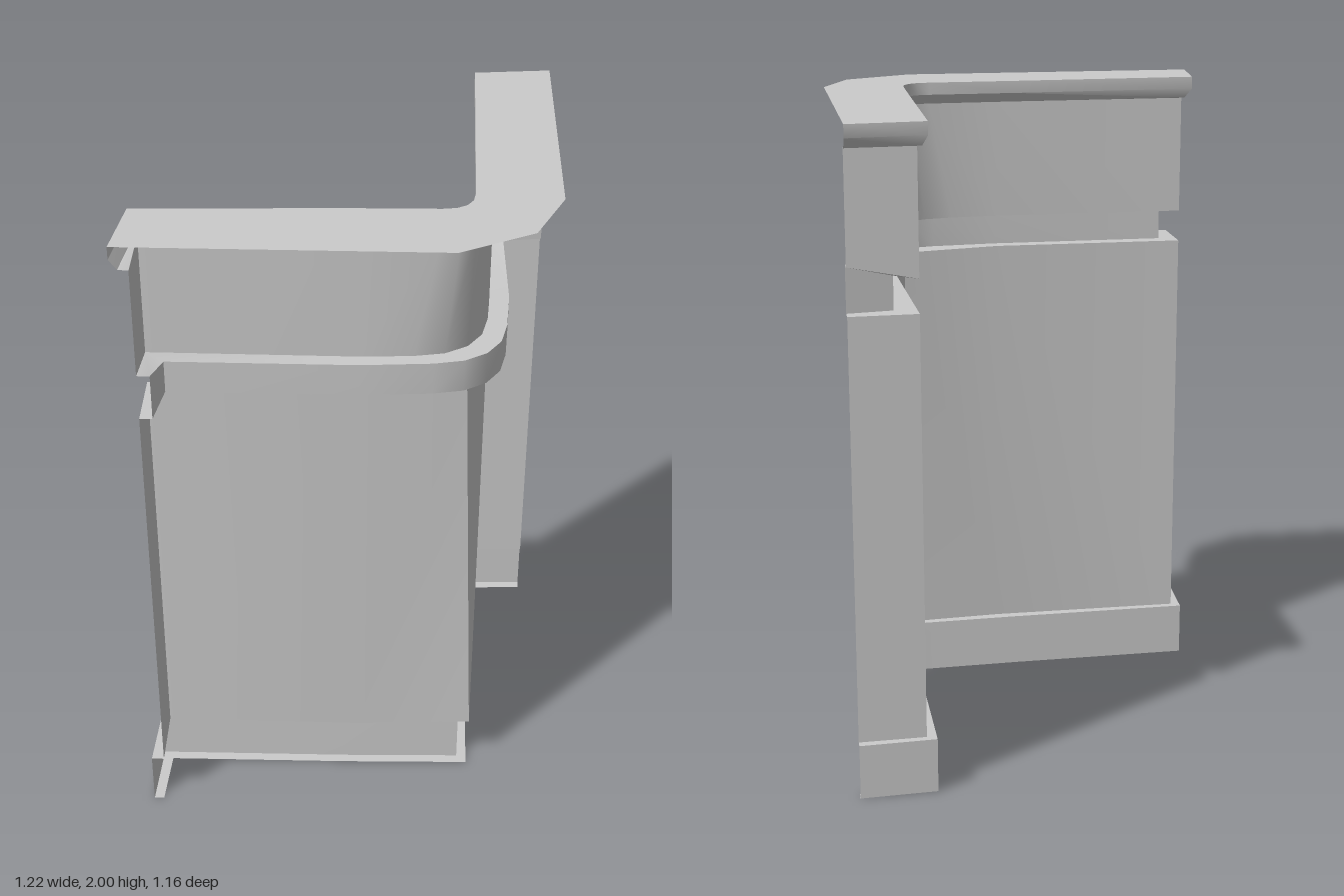
import * as THREE from 'three';
import { toCreasedNormals } from 'three/addons/utils/BufferGeometryUtils.js';

const material = new THREE.MeshStandardMaterial({ color: 0xcccccc, side: THREE.DoubleSide });

// Section of the L-shaped shell: end cap, slightly bowed wall, rounded corner, wall, end cap.
// a/b are the two arms (outer edge, inner end, point midway); c is the corner, r its rounding.
function section(y, aOuter, aInner, aMid, c, r, bMid, bInner, bOuter, yOuter = y) {
  const at = ([x, z]) => new THREE.Vector3(x, y, z);
  const C = at(c), A = at(aMid), B = at(bMid);
  const start = C.clone().add(A.clone().sub(C).setLength(r));
  const end = C.clone().add(B.clone().sub(C).setLength(r));
  const corner = new THREE.QuadraticBezierCurve3(start, C, end).getPoints(4);
  return [
    new THREE.Vector3(aOuter, yOuter, 0.58), at(aInner), A, ...corner, B, at(bInner),
    new THREE.Vector3(0.605, yOuter, bOuter),
  ];
}

// Skin between successive sections
function loft(name, sections) {
  const positions = [];
  const tri = (p, q, s) => {
    const area = q.clone().sub(p).cross(s.clone().sub(p)).length();
    if (area > 1e-7) for (const v of [p, q, s]) positions.push(v.x, v.y, v.z);
  };
  for (let j = 0; j < sections.length - 1; j++) {
    const lo = sections[j], hi = sections[j + 1];
    for (let i = 0; i < lo.length - 1; i++) {
      tri(lo[i], hi[i], hi[i + 1]);
      tri(lo[i], hi[i + 1], lo[i + 1]);
    }
  }
  const geometry = new THREE.BufferGeometry();
  geometry.setAttribute('position', new THREE.Float32BufferAttribute(positions, 3));
  const mesh = new THREE.Mesh(toCreasedNormals(geometry, 0.6), material);
  mesh.name = name;
  return mesh;
}

export function createModel() {
  const group = new THREE.Group();
  group.name = 'cornerWall';

  // Sections from the floor up
  const body = (y, corner, r, yOuter) => section(
    y, -0.557, [-0.557, 0.392], [0.05, 0.395], corner, r, [0.42, 0.08], [0.402, -0.53], -0.535, yOuter);
  const lip = section(
    0, -0.565, [-0.555, 0.4], [0, 0.395], [0.4, 0.385], 0, [0.402, 0], [0.402, -0.52], -0.53);
  const plinth = (y) => section(
    y, -0.595, [-0.585, 0.37], [0, 0.365], [0.37, 0.355], 0, [0.372, 0], [0.372, -0.55], -0.56);
  const lowerFoot = body(0.17, [0.405, 0.375], 0);
  const lowerHead = body(1.46, [0.355, 0.335], 0);
  const band = (y, yOuter) => section(
    y, -0.52, [-0.5, 0.44], [0.05, 0.44], [0.455, 0.41], 0.2, [0.48, 0.05], [0.47, -0.475], -0.495, yOuter);
  const upperFoot = body(1.56, [0.4, 0.375], 0.2, 1.6);
  const upperHead = body(1.93, [0.39, 0.365], 0.12);
  const corniceFoot = section(
    1.932, -0.587, [-0.565, 0.382], [0, 0.368], [0.378, 0.353], 0.1, [0.388, 0], [0.39, -0.545], -0.56);
  const cornice = (y) => section(
    y, -0.61, [-0.585, 0.365], [0, 0.342], [0.36, 0.335], 0.09, [0.366, 0], [0.375, -0.56], -0.585);

  group.add(
    loft('plinth', [lip, plinth(0), plinth(0.17), lowerFoot]),
    loft('lowerWall', [lowerFoot, lowerHead]),
    loft('recessedBand', [lowerHead, band(1.46), band(1.56, 1.6), upperFoot]),
    loft('upperWall', [upperFoot, upperHead]),
    loft('corniceEdge', [upperHead, corniceFoot, cornice(1.962), cornice(2)]),
  );

  // Flat top with a chamfered outer corner
  const outline = cornice(2).map((p) => new THREE.Vector2(p.x, -p.z));
  outline.push(
    new THREE.Vector2(0.605, -0.27), new THREE.Vector2(0.52, -0.465), new THREE.Vector2(0.31, -0.58),
  );
  const top = new THREE.Mesh(new THREE.ShapeGeometry(new THREE.Shape(outline)), material);
  top.geometry.rotateX(-Math.PI / 2).translate(0, 2, 0);
  top.name = 'counterTop';
  group.add(top);

  return group;
}
